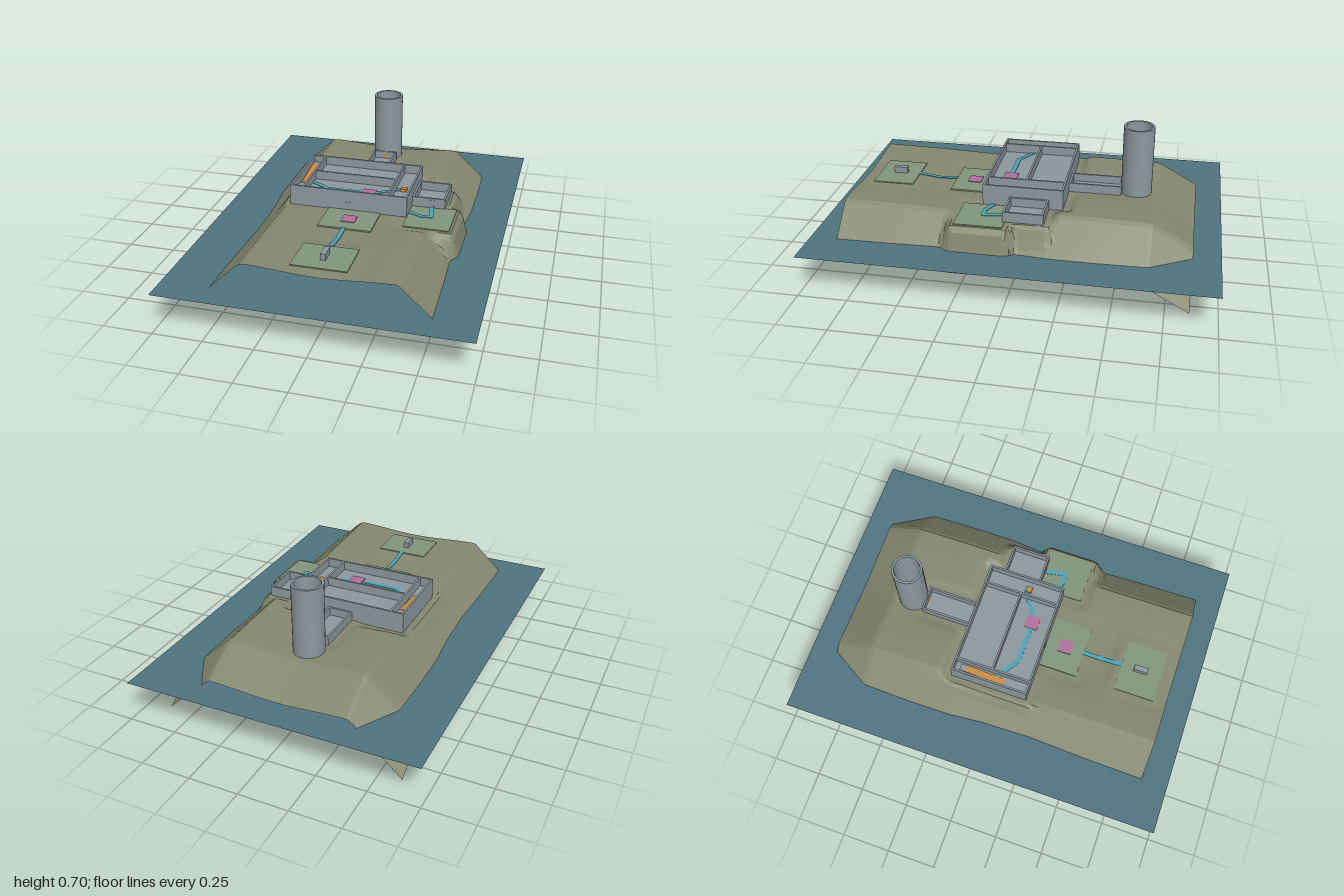
import * as THREE from 'three';

const mat = (color, extra = {}) => new THREE.MeshStandardMaterial({ color, side: THREE.DoubleSide, ...extra });
const { lerp, smoothstep, clamp } = THREE.MathUtils;

const BASE = 0.333;   // ground floor level
const MID = 0.387;    // upper floor level
const TOP = 0.44;     // top of upper walls

// levelled sites: x0, x1, z0, z1, height
const sites = [
  [-0.34, 0.27, -0.22, 0.185, BASE],
  [0.27, 0.44, -0.15, 0.05, BASE],
  [-0.065, 0.065, -0.48, -0.22, 0.34],
  [0.27, 0.5, 0.04, 0.28, 0.328],
  [-0.135, 0.135, 0.185, 0.385, 0.33],
  [-0.135, 0.135, 0.59, 0.8, 0.343],
];

// crest height along z
const crest = [[-0.865, 0.245], [-0.66, 0.358], [-0.4, 0.364], [-0.18, 0.362], [0, 0.346],
  [0.25, 0.34], [0.55, 0.35], [0.865, 0.355]];

function groundHeight(x, z) {
  let i = 0;
  while (i < crest.length - 2 && z > crest[i + 1][0]) i++;
  const [za, ya] = crest[i], [zb, yb] = crest[i + 1];
  let y = lerp(ya, yb, clamp((z - za) / (zb - za), 0, 1));
  // flat top with a shallow middle dip, then straight flanks
  const d = Math.abs(x - 0.015);
  y -= Math.max(0, d - 0.365) * 0.94;
  if (d < 0.365) y -= 0.009 * (1 + Math.cos(Math.PI * d / 0.365));
  for (const [x0, x1, z0, z1, h] of sites) {
    const dist = Math.hypot(Math.max(x0 - x, 0, x - x1), Math.max(z0 - z, 0, z - z1));
    y = lerp(h, y, smoothstep(dist, 0.015, 0.07));
  }
  return y;
}

export function createModel() {
  const model = new THREE.Group();
  const stone = mat(0x8d989f), grass = mat(0x82957c), cyan = mat(0x4aa5b8);
  const pink = mat(0xb0709c), orange = mat(0xc98a3e);

  const add = (name, geo, material, x = 0, y = 0, z = 0, parent = model) => {
    const m = new THREE.Mesh(geo, material);
    m.name = name;
    m.position.set(x, y, z);
    parent.add(m);
    return m;
  };
  // box given by its limits
  const box = (name, x0, x1, y0, y1, z0, z1, material, parent) =>
    add(name, new THREE.BoxGeometry(x1 - x0, y1 - y0, z1 - z0), material,
      (x0 + x1) / 2, (y0 + y1) / 2, (z0 + z1) / 2, parent);

  // water sheet
  add('water', new THREE.PlaneGeometry(1.49, 2).rotateX(-Math.PI / 2), mat(0x4f7480), 0, 0.21, 0);

  // hill: a grid raised by the height rule
  const hill = new THREE.PlaneGeometry(1.22, 1.73, 62, 88).rotateX(-Math.PI / 2);
  const p = hill.attributes.position;
  for (let i = 0; i < p.count; i++) p.setY(i, groundHeight(p.getX(i), p.getZ(i)));
  hill.computeVertexNormals();
  add('hill', hill, mat(0x84876f, { flatShading: true }));

  // open-topped room: floor and four thin walls
  const T = 0.01;
  function room(name, x0, x1, y0, y1, z0, z1) {
    const g = new THREE.Group();
    g.name = name;
    model.add(g);
    box('floor', x0, x1, y0, y0 + 0.006, z0, z1, stone, g);
    box('leftWall', x1 - T, x1, y0, y1, z0, z1, stone, g);
    box('rightWall', x0, x0 + T, y0, y1, z0, z1, stone, g);
    box('frontWall', x0 + T, x1 - T, y0, y1, z1 - T, z1, stone, g);
    box('backWall', x0 + T, x1 - T, y0, y1, z0, z0 + T, stone, g);
    return g;
  }
  room('lowerStorey', -0.34, 0.27, BASE, MID, -0.22, 0.185);
  const upper = room('upperStorey', -0.34, 0.27, MID, TOP, -0.22, 0.185);
  room('sideRoom', 0.27, 0.44, BASE, 0.385, -0.15, 0.05);
  room('corridor', -0.065, 0.065, 0.341, 0.388, -0.488, -0.22);

  // upper partitions
  box('partition', -0.275, -0.265, MID, TOP, -0.21, 0.175, stone, upper);
  box('partition', 0.165, 0.175, MID, TOP, -0.21, 0.175, stone, upper);
  box('partition', -0.265, 0.165, MID, TOP, -0.025, -0.015, stone, upper);

  // doors
  box('frontDoor', -0.045, -0.02, 0.343, 0.378, 0.184, 0.188, stone);
  box('sideDoor', 0.355, 0.385, 0.34, 0.376, 0.049, 0.053, stone);
  box('towerDoor', -0.012, 0.012, 0.347, 0.38, -0.484, -0.478, orange);

  // hollow round tower
  const wall = [[0.066, 0.34], [0.078, 0.34], [0.078, 0.7], [0.066, 0.7], [0.066, 0.34]];
  for (let i = 0; i < wall.length - 1; i++) {
    const seg = [wall[i], wall[i + 1]].map(([r, y]) => new THREE.Vector2(r, y));
    add('towerWall', new THREE.LatheGeometry(seg, 32), stone, 0, 0, -0.56);
  }
  add('towerFloor', new THREE.CylinderGeometry(0.067, 0.067, 0.006, 32), stone, 0, 0.366, -0.56);
  add('towerPost', new THREE.CylinderGeometry(0.02, 0.02, 0.03, 16), stone, 0, 0.383, -0.56);

  // level lawns
  box('middleLawn', -0.135, 0.135, 0.328, 0.337, 0.185, 0.385, grass);
  box('frontLawn', -0.135, 0.135, 0.34, 0.348, 0.59, 0.8, grass);
  box('sideLawn', 0.27, 0.5, 0.325, 0.333, 0.04, 0.28, grass);
  box('marker', -0.013, 0.013, 0.348, 0.38, 0.655, 0.727, stone);

  // flat path strips between successive points
  function path(name, pts, width, material) {
    for (let i = 0; i < pts.length - 1; i++) {
      const a = new THREE.Vector3(...pts[i]), b = new THREE.Vector3(...pts[i + 1]);
      const strip = add(name, new THREE.BoxGeometry(width, 0.003, a.distanceTo(b) + width * 0.4), material);
      strip.position.copy(a).add(b).multiplyScalar(0.5);
      strip.lookAt(b);
    }
  }
  const u = MID + 0.008;
  path('upperPath', [[-0.305, u, 0], [-0.17, u, 0.085], [0.07, u, 0.085], [0.22, u, -0.01]], 0.022, cyan);
  path('sidePath', [[0.27, 0.336, 0.13], [0.34, 0.336, 0.16], [0.39, 0.336, 0.155], [0.37, 0.336, 0.05]], 0.022, cyan);
  path('frontPath', [[0, 0.339, 0.385], [0, groundHeight(0, 0.48) + 0.005, 0.48], [0, 0.349, 0.59]], 0.022, cyan);

  // pink floor squares
  box('upperSquare', 0.015, 0.085, u, u + 0.004, 0.05, 0.12, pink);
  box('lawnSquare', -0.035, 0.035, 0.337, 0.341, 0.25, 0.32, pink);

  // stair ramp with its landing, and a small hatch
  path('stairRamp', [[-0.305, u + 0.003, 0.045], [-0.305, u + 0.022, -0.14]], 0.035, orange);
  box('stairLanding', -0.322, -0.288, u, u + 0.022, -0.18, -0.14, stone);
  box('hatch', 0.2, 0.232, MID + 0.005, MID + 0.02, -0.005, 0.025, orange);

  return model;
}
